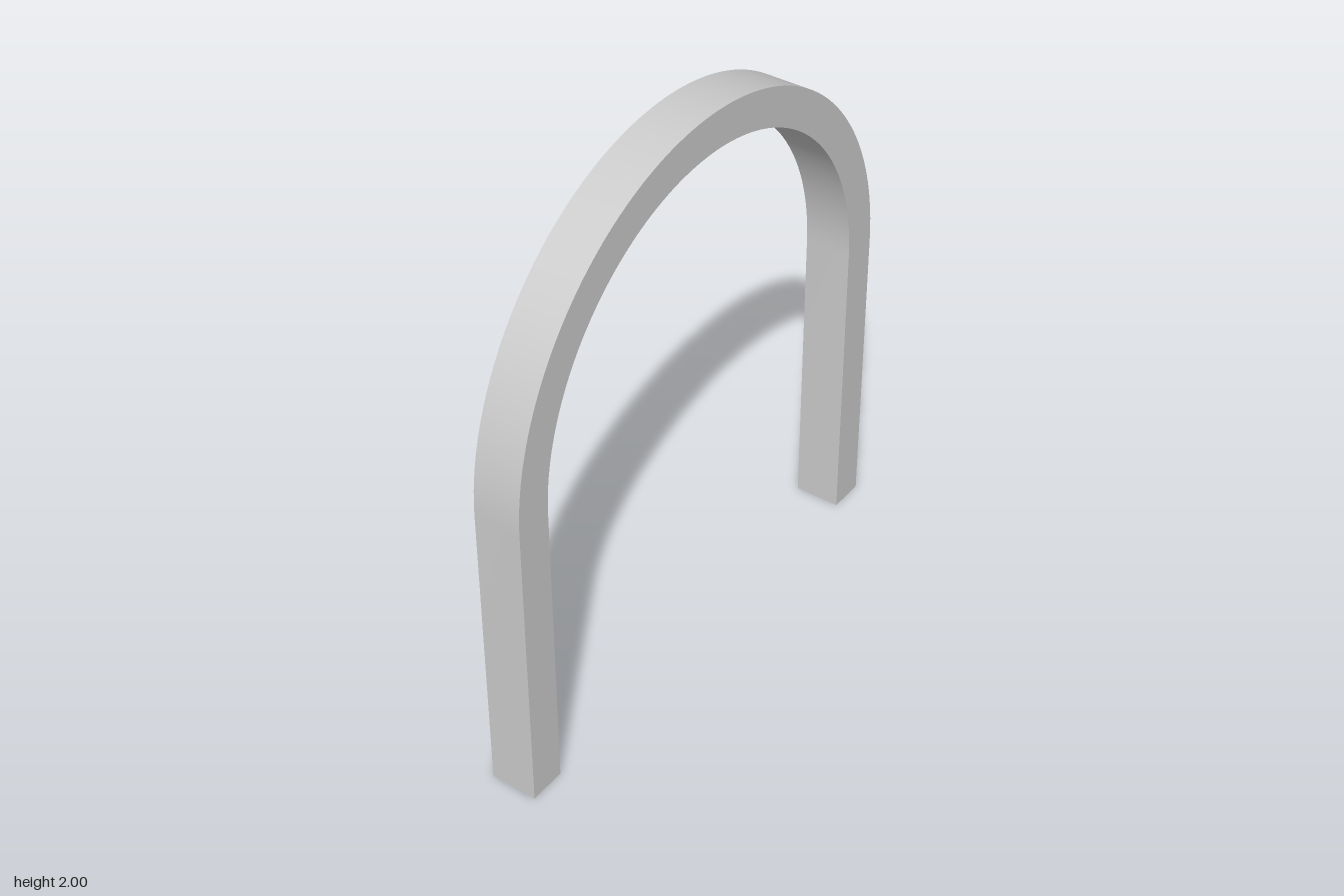
import * as THREE from 'three';
import { toCreasedNormals } from 'three/addons/utils/BufferGeometryUtils.js';

const OUTER = 0.93;   // outer half width and arc radius
const INNER = 0.8;    // inner half width and arc radius
const SPRING = 1.07;  // height where the legs turn into the arc
const DEPTH = 0.165;

export function createModel() {
  const group = new THREE.Group();
  group.name = 'arch';

  // Outline: up the outer side, over the arc, down, and back along the inner side
  const shape = new THREE.Shape();
  shape.moveTo(OUTER, 0);
  shape.lineTo(OUTER, SPRING);
  shape.absarc(0, SPRING, OUTER, 0, Math.PI, false);
  shape.lineTo(-OUTER, 0);
  shape.lineTo(-INNER, 0);
  shape.lineTo(-INNER, SPRING);
  shape.absarc(0, SPRING, INNER, Math.PI, 0, true);
  shape.lineTo(INNER, 0);
  shape.closePath();

  const extruded = new THREE.ExtrudeGeometry(shape, {
    depth: DEPTH, bevelEnabled: false, curveSegments: 48,
  });
  extruded.translate(0, 0, -DEPTH / 2);

  // Smooth around the arc, sharp along the edges
  const frame = new THREE.Mesh(
    toCreasedNormals(extruded, Math.PI / 6),
    new THREE.MeshStandardMaterial({ color: 0xcccccc }),
  );
  frame.name = 'archFrame';
  group.add(frame);
  return group;
}
